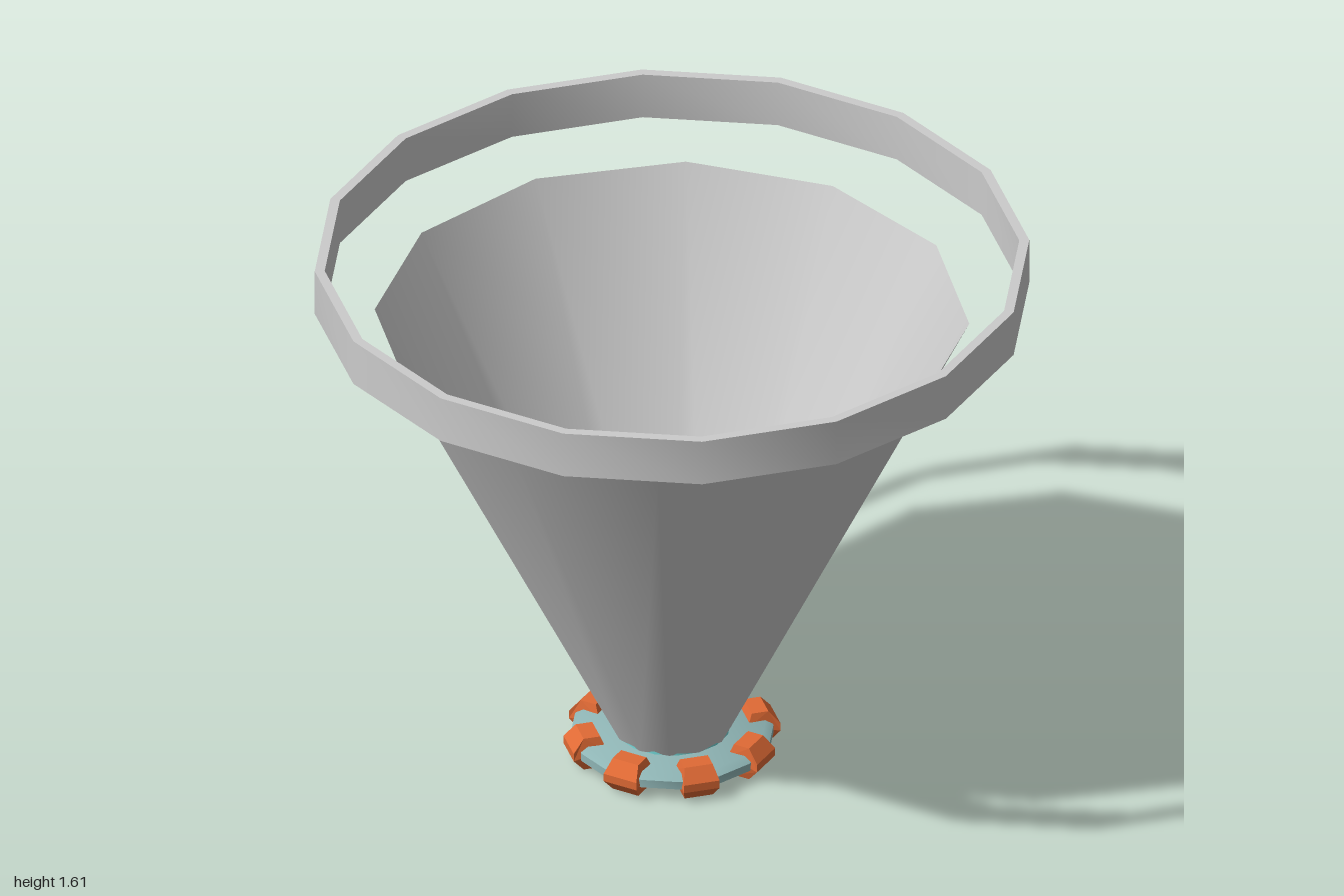
import * as THREE from 'three';
import { toCreasedNormals } from 'three/addons/utils/BufferGeometryUtils.js';

const mat = (color, extra = {}) => new THREE.MeshStandardMaterial({ color, ...extra });
const grey = mat(0xcccccc);
const greyThin = mat(0xcccccc, { side: THREE.DoubleSide });
const teal = mat(0x8fb5b5);
const cyan = mat(0x74dada);
const orange = mat(0xe06a35);

function part(name, geometry, material, parent) {
  const mesh = new THREE.Mesh(geometry, material);
  mesh.name = name;
  parent.add(mesh);
  return mesh;
}

// Turned solid: profile of [radius, y] points, going up the outside
function turned(points, sides) {
  const geometry = new THREE.LatheGeometry(points.map(([r, y]) => new THREE.Vector2(r, y)), sides);
  return toCreasedNormals(geometry, 0.6);
}

const hoop = (inner, outer, y0, y1, sides) =>
  turned([[inner, y0], [outer, y0], [outer, y1], [inner, y1], [inner, y0]], sides);

const polygon = (points) => new THREE.Shape(points.map(([x, y]) => new THREE.Vector2(x, y)));

// Clamp block: six-sided radial profile, narrowing towards top and bottom
function clampGeometry() {
  const mid = 0.054;
  const profile = polygon([
    [0.22, 0.004], [0.268, 0.004], [0.3, 0.042], [0.3, 0.066],
    [0.268, 0.104], [0.22, 0.104], [0.205, 0.066], [0.205, 0.042],
  ]);
  const geometry = new THREE.ExtrudeGeometry(profile, { depth: 0.104, bevelEnabled: false });
  geometry.translate(0, 0, -0.052);
  geometry.rotateY(-Math.PI / 2);
  const p = geometry.attributes.position;
  for (let i = 0; i < p.count; i++) {
    const away = Math.max(0, Math.abs(p.getY(i) - mid) - 0.012) / 0.038;
    p.setX(i, p.getX(i) * (1 - 0.22 * away));
  }
  const flat = geometry.toNonIndexed();
  flat.computeVertexNormals();
  return flat;
}

// Flat blade widening outwards
function bladeGeometry() {
  const shape = polygon([[-0.014, 0.045], [0.014, 0.045], [0.027, 0.135], [-0.027, 0.135]]);
  const geometry = new THREE.ExtrudeGeometry(shape, { depth: 0.015, bevelEnabled: false });
  geometry.rotateX(Math.PI / 2);
  geometry.translate(0, 0.095, 0);
  return geometry;
}

export function createModel() {
  const model = new THREE.Group();
  model.name = 'thrusterCone';

  // Floating hoop above the mouth
  part('upperRing', hoop(0.972, 1, 1.475, 1.614, 16), grey, model);

  // Open flared cone
  part('cone', new THREE.CylinderGeometry(0.83, 0.165, 1.335, 12, 1, true), greyThin, model)
    .position.y = 0.08 + 1.335 / 2;

  // Base plate with a bevelled rim
  const base = new THREE.Group();
  base.name = 'base';
  model.add(base);
  part('basePlate', turned([
    [0, 0.03], [0.262, 0.03], [0.284, 0.042], [0.284, 0.066], [0.262, 0.08], [0, 0.08],
  ], 16), teal, base);

  // Hub and inner rim at the bottom of the cone
  part('innerRim', hoop(0.152, 0.164, 0.078, 0.092, 16), cyan, base);
  part('hub', new THREE.CylinderGeometry(0.04, 0.04, 0.03, 12), cyan, base).position.y = 0.087;

  // Eight clamps and eight blades
  const clamp = clampGeometry();
  const blade = bladeGeometry();
  for (let i = 0; i < 8; i++) {
    const angle = (i - 0.25) * Math.PI / 4;
    part('clamp' + (i + 1), clamp, orange, base).rotation.y = angle;
    part('blade' + (i + 1), blade, orange, base).rotation.y = angle;
  }
  return model;
}
